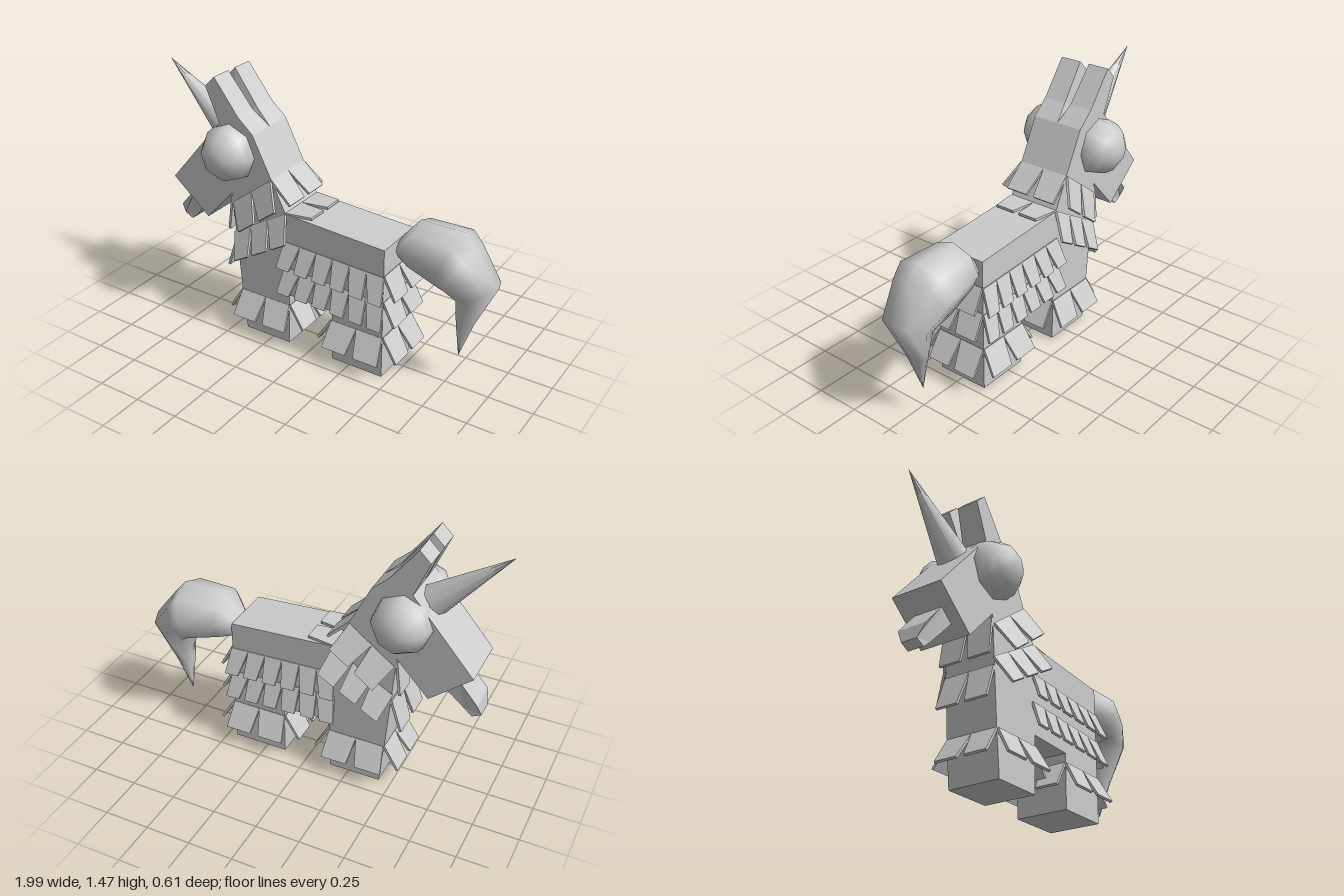
import * as THREE from 'three';

const mat = new THREE.MeshStandardMaterial({ color: 0xcccccc, side: THREE.DoubleSide });
const flatMat = new THREE.MeshStandardMaterial({ color: 0xcccccc, flatShading: true, side: THREE.DoubleSide });
const V = (x, y, z) => new THREE.Vector3(x, y, z);
const Z = 0.15; // half thickness of the body

function add(parent, name, geo, material = flatMat) {
  const mesh = new THREE.Mesh(geo, material);
  mesh.name = name;
  parent.add(mesh);
  return mesh;
}

// Side outline extruded from z0 to z1
function slab(points, z0, z1) {
  const shape = new THREE.Shape(points.map(([x, y]) => new THREE.Vector2(x, y)));
  return new THREE.ExtrudeGeometry(shape, { depth: z1 - z0, bevelEnabled: false }).translate(0, 0, z0);
}

// Apply a rule to each vertex
function reshape(geo, rule) {
  const p = geo.attributes.position, v = V();
  for (let i = 0; i < p.count; i++) {
    rule(v.fromBufferAttribute(p, i));
    p.setXYZ(i, v.x, v.y, v.z);
  }
  geo.computeVertexNormals();
  return geo;
}

// Row of hanging paper flaps from a to b; drop is the hanging direction
function flapRow(parent, name, a, b, count, drop, spread = 0.15, taper = 0.13) {
  const n = b.clone().sub(a).cross(drop.clone().negate()).normalize();
  for (let i = 0; i < count; i++) {
    add(parent, name, reshape(new THREE.BoxGeometry(1, 1, 1), (v) => {
      const down = 0.5 - v.y, w = v.z * 0.014;
      let u = (i + 0.5 + v.x * (1 - 2 * taper * down)) / count;
      u = 0.5 + (u - 0.5) * (1 + spread * down);
      v.lerpVectors(a, b, u).addScaledVector(drop, down).addScaledVector(n, w);
    }));
  }
}

// The same row on both flanks
function flankRows(parent, name, a, b, count, drop, spread, taper) {
  for (const s of [1, -1]) {
    const p = V(a[0], a[1], s * Z), q = V(b[0], b[1], s * Z);
    const d = V(drop[0], drop[1], s * drop[2]);
    if (s > 0) flapRow(parent, name, p, q, count, d, spread, taper);
    else flapRow(parent, name, q, p, count, d, spread, taper);
  }
}

// A row across the thickness of the body
function crossRow(parent, name, x, y, drop, count = 2, spread = 0.18) {
  flapRow(parent, name, V(x, y, Z), V(x, y, -Z), count, V(drop[0], drop[1], 0), spread);
}

// Tail: loft of oval sections, given by outer point, inner point and half width
function tailGeometry() {
  const sections = [
    [0.43, 0.75, 0.43, 0.66, 0.06], [0.45, 0.77, 0.45, 0.645, 0.08],
    [0.54, 0.88, 0.53, 0.62, 0.155], [0.79, 0.88, 0.68, 0.57, 0.185],
    [0.85, 0.81, 0.73, 0.555, 0.175], [0.99, 0.63, 0.765, 0.52, 0.125],
    [0.87, 0.37, 0.775, 0.37, 0.06], [0.795, 0.155, 0.795, 0.155, 0]];
  const N = 8, pos = [], idx = [];
  sections.forEach(([ox, oy, ix, iy, w], r) => {
    for (let i = 0; i < N; i++) {
      const t = i / N * Math.PI * 2, k = (1 + Math.cos(t)) / 2;
      pos.push(ix + (ox - ix) * k, iy + (oy - iy) * k, -0.047 + w * Math.sin(t));
      if (r) {
        const j = (i + 1) % N, p = (r - 1) * N, q = r * N;
        idx.push(p + i, p + j, q + i, p + j, q + j, q + i);
      }
    }
  });
  const geo = new THREE.BufferGeometry();
  geo.setAttribute('position', new THREE.Float32BufferAttribute(pos, 3));
  geo.setIndex(idx);
  geo.computeVertexNormals();
  return geo;
}

export function createModel() {
  const g = new THREE.Group();
  g.name = 'pinataUnicorn';

  // Legs, trunk, neck and head in one outline
  add(g, 'body', slab([
    [-0.43, 0], [-0.14, 0], [-0.135, 0.31], [0.14, 0.3], [0.14, 0], [0.45, 0], [0.447, 0.765],
    [-0.15, 0.8], [-0.35, 1.2], [-0.565, 1.22], [-0.9, 0.83], [-0.675, 0.64], [-0.5, 0.83],
    [-0.455, 0.25]], -Z, Z));

  // Ears with a wedge-shaped slot between them
  const ear = [[-0.565, 1.22], [-0.35, 1.2], [-0.44, 1.28], [-0.585, 1.47], [-0.645, 1.41]];
  for (const s of [1, -1]) {
    const geo = s > 0 ? slab(ear, 0, Z) : slab(ear, -Z, 0);
    add(g, s > 0 ? 'leftEar' : 'rightEar', reshape(geo, (v) => {
      if (Math.abs(v.z) < 0.01) v.z = s * 0.028 * THREE.MathUtils.clamp((v.y - 1.2) / 0.12, 0, 1);
    }));
  }

  // Eyes
  for (const s of [1, -1]) {
    const eye = add(g, s > 0 ? 'leftEye' : 'rightEye', new THREE.SphereGeometry(0.16, 8, 8).rotateX(Math.PI / 2), mat);
    eye.position.set(s > 0 ? -0.5 : -0.52, s > 0 ? 1.07 : 1.05, s * 0.143);
  }

  // Horn
  const tip = V(-1, 1.455, 0), base = V(-0.62, 1.13, -0.01);
  const axis = tip.clone().sub(base);
  const horn = add(g, 'horn', new THREE.ConeGeometry(0.088, axis.length(), 8), mat);
  horn.position.copy(base).addScaledVector(axis, 0.5);
  horn.quaternion.setFromUnitVectors(V(0, 1, 0), axis.normalize());

  // Tongue, narrowing towards its tip
  add(g, 'tongue', reshape(slab([
    [-0.81, 0.75], [-0.915, 0.625], [-0.93, 0.55], [-0.88, 0.525], [-0.835, 0.565], [-0.735, 0.69]],
  -0.085, 0.085), (v) => { if (v.y < 0.6) v.z *= 0.55; }));

  add(g, 'tail', tailGeometry(), mat);

  // Frills around the legs
  for (const [x0, x1] of [[-0.45, -0.135], [0.138, 0.45]]) {
    flankRows(g, 'legFrill', [x0, 0.245], [x1, 0.245], 2, [0, -0.135, 0.075], 0.26);
    crossRow(g, 'legFrill', x0, 0.245, [-0.085, -0.135]);
    crossRow(g, 'legFrill', x1, 0.245, [0.085, -0.135]);
  }

  // Frills around the trunk
  for (const y of [0.615, 0.46]) {
    flankRows(g, 'trunkFrill', [-0.16, y + 0.02], [0.45, y - 0.005], 6, [0, -0.14, 0.055], 0.12, 0.16);
    crossRow(g, 'trunkFrill', 0.447, y, [0.07, -0.13]);
  }

  // Frills around the slanted neck
  flankRows(g, 'neckFrill', [-0.49, 0.78], [-0.24, 0.97], 2, [0.08, -0.13, 0.075], 0.1);
  flankRows(g, 'neckFrill', [-0.49, 0.6], [-0.15, 0.8], 3, [0.05, -0.135, 0.08], 0.08);
  crossRow(g, 'neckFrill', -0.5, 0.81, [-0.025, -0.2]);
  crossRow(g, 'neckFrill', -0.48, 0.56, [-0.06, -0.18]);
  crossRow(g, 'neckFrill', -0.24, 0.97, [0.12, -0.115]);
  crossRow(g, 'neckFrill', -0.15, 0.8, [0.15, 0.004], 2, 0);

  return g;
}
